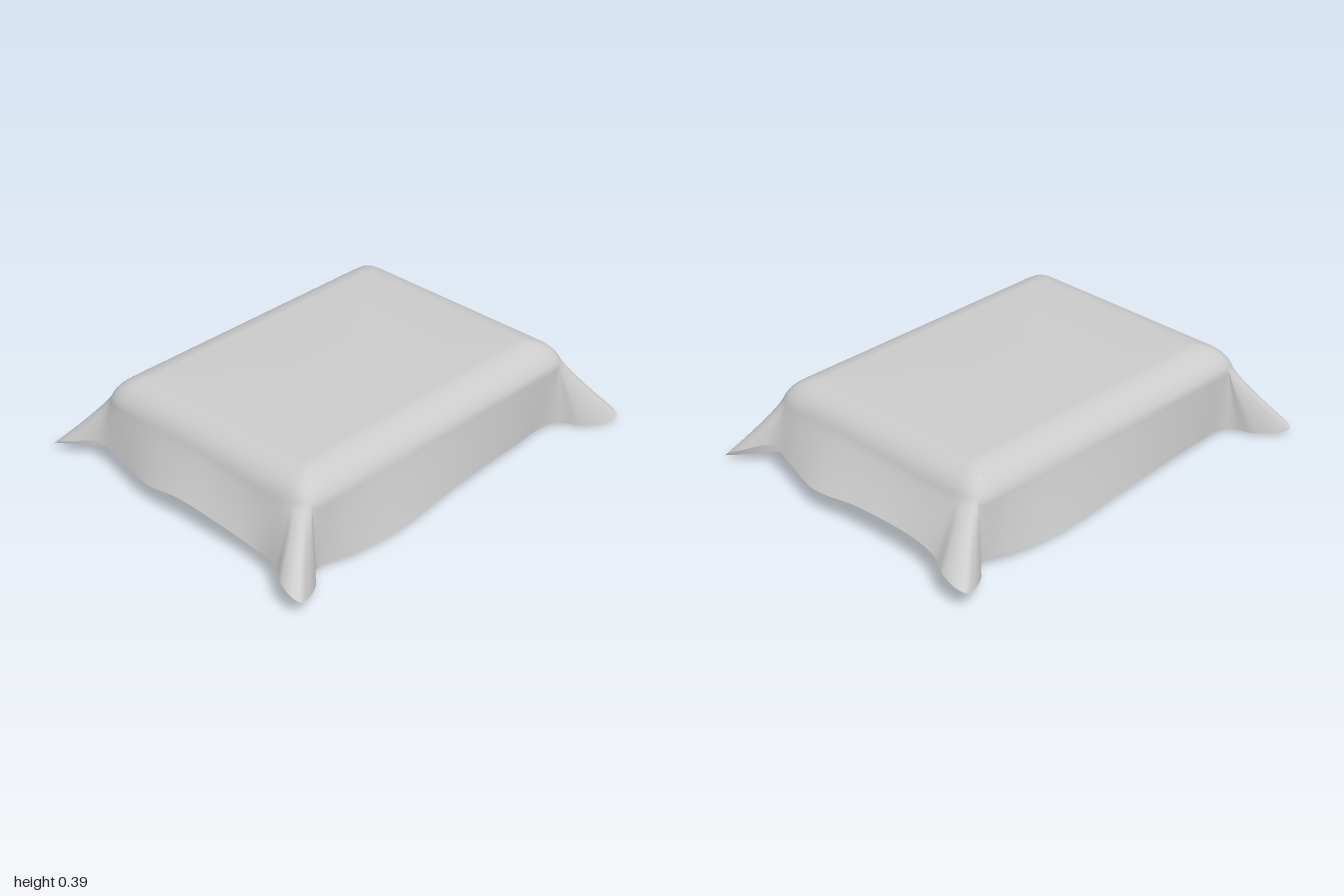
import * as THREE from 'three';

const V = (x, y, z) => new THREE.Vector3(x, y, z);
const TOP = 0.395, CX = 0.018, HALF_X = 0.425, HALF_Z = 0.62, ROUND = 0.165, DROP = 0.135;
const SHOULDER_RINGS = 10, SKIRT_RINGS = 16, SHOULDER_END = 1.3;

// Hem of a corner fold: a narrow half ellipse from root a round the tip to root b
function fold(a, tip, b) {
  const mid = a.clone().lerp(b, 0.5);
  const axis = tip.clone().sub(mid), side = a.clone().sub(mid);
  return Array.from({ length: 7 }, (_, i) => {
    const angle = Math.PI * i / 6, c = Math.cos(angle);
    const width = Math.sign(c) * Math.abs(c) ** 1.3;
    return mid.clone().addScaledVector(axis, Math.sin(angle)).addScaledVector(side, width);
  });
}

// Closed hem, running front -> +x side -> back -> -x side
function hemCurve() {
  const points = [
    // front edge and its left corner
    V(-0.4, 0.087, 0.84), V(-0.18, 0.1, 0.885), V(0, 0.125, 0.885), V(0.22, 0.108, 0.875), V(0.42, 0.085, 0.87),
    ...fold(V(0.57, 0.11, 0.91), V(0.77, 0.08, 0.975), V(0.62, 0.03, 0.74)),
    // left edge and its back corner
    V(0.65, 0.02, 0.55), V(0.668, 0.025, 0.33), V(0.645, 0.04, 0), V(0.612, 0.03, -0.4),
    ...fold(V(0.605, 0.02, -0.7), V(0.765, 0.02, -0.925), V(0.56, 0.12, -0.845)),
    // back edge and its right corner
    V(0.4, 0.11, -0.875), V(0.2, 0.105, -0.925), V(-0.05, 0.125, -0.908), V(-0.35, 0.12, -0.898),
    ...fold(V(-0.5, 0.115, -0.925), V(-0.72, 0.09, -0.98), V(-0.575, 0.05, -0.76)),
    // right edge and its front corner
    V(-0.61, 0.04, -0.6), V(-0.632, 0.035, -0.4), V(-0.61, 0.04, 0.05), V(-0.575, 0.03, 0.48),
    ...fold(V(-0.575, 0.02, 0.7), V(-0.775, 0.028, 0.88), V(-0.56, 0.105, 0.825)),
  ];
  return new THREE.CatmullRomCurve3(points, true, 'centripetal');
}

// Point of the rounded shoulder above a hem point; angle 0 = flat top, PI/2 = wall
function shoulderPoint(hem, angle) {
  const qx = THREE.MathUtils.clamp(hem.x - CX, -HALF_X, HALF_X);
  const qz = THREE.MathUtils.clamp(hem.z, -HALF_Z, HALF_Z);
  const dx = hem.x - CX - qx, dz = hem.z - qz;
  const reach = ROUND * Math.sin(angle) / (dx ** 4 + dz ** 4) ** 0.25;
  return V(CX + qx + dx * reach, TOP - DROP * (1 - Math.cos(angle)), qz + dz * reach);
}

function clothGeometry() {
  const curve = hemCurve();
  const n = curve.points.length * 8;
  const hem = curve.getPoints(n).slice(0, n);
  const pos = [CX, TOP, 0], idx = [];

  // rounded shoulder, from the flat top outwards
  for (let r = 0; r <= SHOULDER_RINGS; r++) {
    const angle = THREE.MathUtils.lerp(0.04, SHOULDER_END, r / SHOULDER_RINGS);
    for (const h of hem) pos.push(...shoulderPoint(h, angle));
  }
  // hanging skirt, from the shoulder down to the hem
  for (let r = 1; r <= SKIRT_RINGS; r++) {
    const t = r / SKIRT_RINGS, flare = t ** 1.12;
    for (const h of hem) {
      const s = shoulderPoint(h, SHOULDER_END);
      pos.push(s.x + (h.x - s.x) * flare, s.y + (h.y - s.y) * t, s.z + (h.z - s.z) * flare);
    }
  }

  // top cap, then the bands between rings
  for (let i = 0; i < n; i++) idx.push(0, 1 + i, 1 + (i + 1) % n);
  for (let r = 0; r < SHOULDER_RINGS + SKIRT_RINGS; r++) {
    for (let i = 0; i < n; i++) {
      const a = 1 + r * n + i, b = 1 + r * n + (i + 1) % n;
      idx.push(a, a + n, b + n, a, b + n, b);
    }
  }

  const geo = new THREE.BufferGeometry();
  geo.setAttribute('position', new THREE.Float32BufferAttribute(pos, 3));
  geo.setIndex(idx);
  geo.computeVertexNormals();
  return geo;
}

export function createModel() {
  const model = new THREE.Group();
  model.name = 'drapedCloth';
  const material = new THREE.MeshStandardMaterial({ color: 0xcccccc, side: THREE.DoubleSide });
  const cloth = new THREE.Mesh(clothGeometry(), material);
  cloth.name = 'cloth';
  model.add(cloth);
  return model;
}
